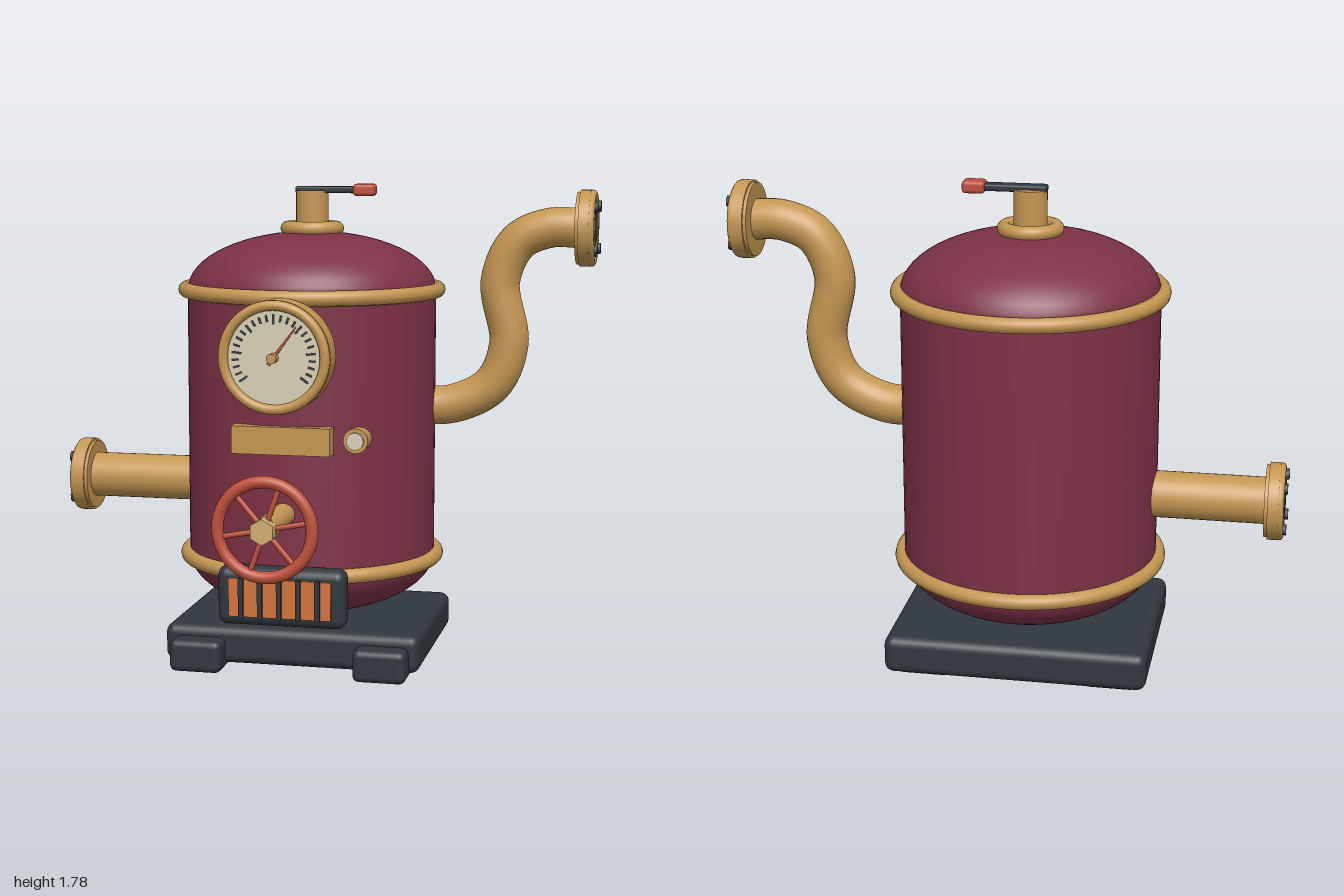
import * as THREE from 'three';
import { RoundedBoxGeometry } from 'three/addons/geometries/RoundedBoxGeometry.js';

const mat = (name, color, extra = {}) => new THREE.MeshStandardMaterial({ name, color, ...extra });

export function createModel() {
  const maroon = mat('maroon paint', 0x7d3147);
  const brass = mat('brass', 0xc4965200 >>> 8);
  const paleBrass = mat('pale brass', 0xd0b070);
  const iron = mat('dark iron', 0x30373e);
  const red = mat('red paint', 0xc0503a);
  const ember = mat('ember orange', 0xd4733a);
  const cream = mat('cream enamel', 0xd8d0b6);

  const model = new THREE.Group();
  model.name = 'boiler';
  const CX = -0.06, CZ = -0.14, R = 0.465;

  const add = (name, geo, material, x = 0, y = 0, z = 0, parent = model) => {
    const m = new THREE.Mesh(geo, material);
    m.name = name;
    m.position.set(x, y, z);
    parent.add(m);
    return m;
  };
  const group = (name, x, y, z) => {
    const g = new THREE.Group();
    g.name = name;
    g.position.set(x, y, z);
    model.add(g);
    return g;
  };
  const box = (w, h, d, r) => r ? new RoundedBoxGeometry(w, h, d, 3, r) : new THREE.BoxGeometry(w, h, d);
  // Cylinder along z from z0 to z1
  const rod = (r, z0, z1, sides = 32) =>
    new THREE.CylinderGeometry(r, r, z1 - z0, sides).rotateX(Math.PI / 2).translate(0, 0, (z0 + z1) / 2);

  // Tank with elliptical ends
  const profile = [];
  const N = 16, low = 0.385, high = 1.385, dome = 0.215;
  for (let i = 0; i <= N; i++) {
    const a = -Math.PI / 2 + (i / N) * Math.PI / 2;
    profile.push(new THREE.Vector2(Math.max(0, R * Math.cos(a)), low + dome * Math.sin(a)));
  }
  for (let i = 0; i <= N; i++) {
    const a = (i / N) * Math.PI / 2;
    profile.push(new THREE.Vector2(Math.max(0, R * Math.cos(a)), high + dome * Math.sin(a)));
  }
  add('tank', new THREE.LatheGeometry(profile, 64), maroon, CX, 0, CZ);
  for (const y of [low, high]) {
    add('tankBand', new THREE.TorusGeometry(0.472, 0.028, 12, 64).rotateX(Math.PI / 2), brass, CX, y, CZ);
  }

  // Base plate and skids
  add('basePlate', box(0.955, 0.14, 0.745, 0.035), iron, CX, 0.09, -0.142);
  for (const s of [-1, 1]) add('skid', box(0.195, 0.12, 0.78, 0.025), iron, CX + s * 0.343, 0.06, -0.08);

  // Bolted flange, built facing +z from z = 0
  const flange = (x, y, z, side) => {
    const g = group('pipeFlange', x, y, z);
    g.rotation.y = side * Math.PI / 2;
    add('flangeDisc', rod(0.132, 0, 0.06, 48), brass, 0, 0, 0, g);
    add('flangeEdge', rod(0.14, 0.012, 0.05, 48), brass, 0, 0, 0, g);
    add('flangeRim', new THREE.TorusGeometry(0.125, 0.015, 10, 48), brass, 0, 0, 0.055, g);
    add('flangeLip', new THREE.TorusGeometry(0.086, 0.01, 10, 40), brass, 0, 0, 0.06, g);
    const cap = new THREE.SphereGeometry(0.08, 32, 8, 0, Math.PI * 2, 0, Math.PI / 2);
    add('flangeCap', cap.scale(1, 0.15, 1).rotateX(Math.PI / 2), iron, 0, 0, 0.06, g);
    for (let i = 0; i < 4; i++) {
      const a = Math.PI / 4 + i * Math.PI / 2;
      add('flangeBolt', rod(0.021, 0.05, 0.08, 6), iron, 0.11 * Math.cos(a), 0.11 * Math.sin(a), 0, g);
    }
  };

  // Straight pipe on the right
  add('straightPipe', new THREE.CylinderGeometry(0.085, 0.085, 0.52, 32).rotateZ(Math.PI / 2), brass, -0.67, 0.645, -0.15);
  flange(-0.92, 0.645, -0.15, -1);

  // Curved pipe on the left
  const path = new THREE.CatmullRomCurve3([
    [0.3, 0.955], [0.46, 0.955], [0.615, 1.035], [0.675, 1.19], [0.64, 1.42],
    [0.705, 1.565], [0.82, 1.617], [0.94, 1.617],
  ].map(([x, y]) => new THREE.Vector3(x, y, -0.205)), false, 'centripetal');
  add('curvedPipe', new THREE.TubeGeometry(path, 64, 0.073, 24), brass);
  flange(0.92, 1.617, -0.205, 1);

  // Top valve and lever
  const valve = group('topValve', CX, 0, -0.145);
  add('valveCollar', new THREE.TorusGeometry(0.092, 0.027, 12, 40).rotateX(Math.PI / 2), brass, 0, 1.61, 0, valve);
  add('valveStem', new THREE.CylinderGeometry(0.06, 0.06, 0.18, 32), brass, 0, 1.66, 0, valve);
  add('valveLever', box(0.24, 0.025, 0.052, 0.008), iron, 0.06, 1.753, 0, valve);
  add('leverGrip', box(0.082, 0.045, 0.07, 0.014), red, 0.2, 1.753, 0, valve);

  // Pressure gauge
  const gauge = group('pressureGauge', CX, 1.19, 0);
  add('gaugeMount', rod(0.13, 0.25, 0.37), iron, 0, 0, 0, gauge);
  add('gaugeBody', rod(0.2, 0.365, 0.455, 56), brass, 0, 0, 0, gauge);
  add('gaugeRim', new THREE.TorusGeometry(0.182, 0.018, 12, 56), brass, 0, 0, 0.462, gauge);
  add('gaugeFace', rod(0.172, 0.455, 0.462, 56), cream, 0, 0, 0, gauge);
  for (let i = 0; i <= 24; i++) {
    const a = THREE.MathUtils.degToRad(215 - i * 250 / 24);
    const len = i % 4 === 0 ? 0.034 : 0.024;
    const r = 0.15 - len / 2;
    add('gaugeTick', box(len, 0.008, 0.004), iron, r * Math.cos(a), r * Math.sin(a), 0.463, gauge).rotation.z = a;
  }
  const needle = new THREE.Shape([[-0.03, -0.007], [0.135, -0.002], [0.135, 0.002], [-0.03, 0.007]]
    .map(([x, y]) => new THREE.Vector2(x, y)));
  add('gaugeNeedle', new THREE.ExtrudeGeometry(needle, { depth: 0.006, bevelEnabled: false }), red, 0, 0, 0.468, gauge)
    .rotation.z = 0.93;
  add('needleHub', rod(0.018, 0.46, 0.5, 16), brass, 0, 0, 0, gauge);

  // Plain plate and indicator lamp
  add('namePlate', box(0.36, 0.1, 0.07), brass, -0.065, 0.88, 0.315);
  add('lampRing', rod(0.045, 0.2, 0.29), brass, 0.195, 0.88, 0);
  add('lampLens', rod(0.031, 0.28, 0.304, 24), cream, 0.195, 0.88, 0);

  // Handwheel on its shaft
  const wheel = group('handwheel', CX, 0.61, 0);
  add('wheelShaft', rod(0.042, 0.28, 0.6, 24), brass, 0, 0, 0, wheel);
  add('wheelRim', new THREE.TorusGeometry(0.168, 0.022, 12, 48), red, 0, 0, 0.6, wheel);
  add('wheelHub', rod(0.046, 0.58, 0.645, 6), paleBrass, 0, 0, 0, wheel);
  for (let i = 0; i < 6; i++) {
    const a = 0.19 + i * Math.PI / 3;
    const spoke = new THREE.CylinderGeometry(0.01, 0.01, 0.15, 10).rotateZ(Math.PI / 2);
    add('wheelSpoke', spoke, red, 0.095 * Math.cos(a), 0.095 * Math.sin(a), 0.6, wheel).rotation.z = a;
  }

  // Firebox grille
  const firebox = group('firebox', CX, 0.315, 0);
  add('fireboxFrame', box(0.47, 0.215, 0.095, 0.035), iron, 0, 0, 0.333, firebox);
  add('fireboxGlow', box(0.375, 0.14, 0.02), ember, 0, 0, 0.383, firebox);
  for (let i = -2; i <= 2; i++) add('grilleBar', box(0.018, 0.145, 0.03), iron, i * 0.07, 0, 0.39, firebox);

  return model;
}
